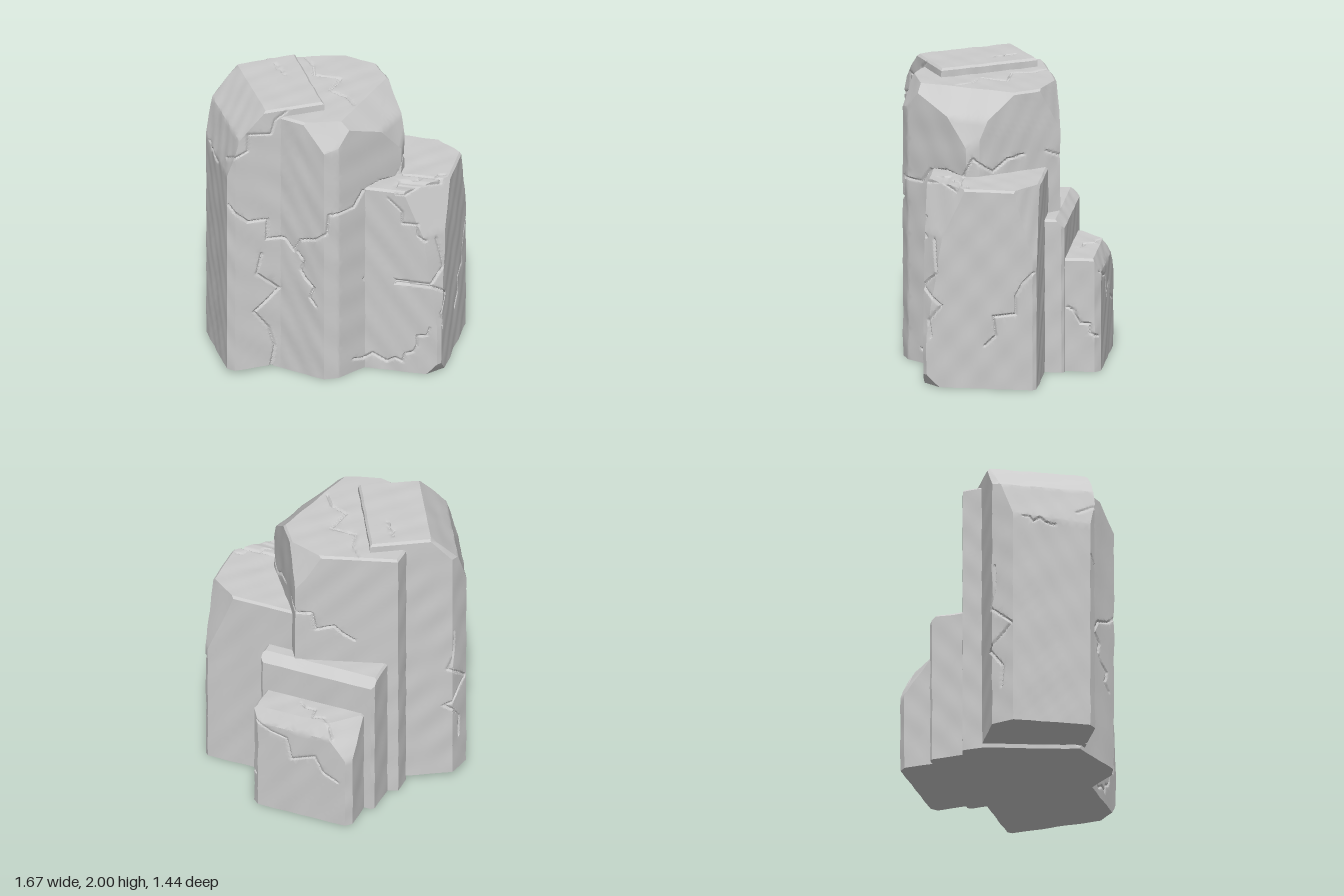
import * as THREE from 'three';
import { ConvexGeometry } from 'three/addons/geometries/ConvexGeometry.js';
import { toCreasedNormals } from 'three/addons/utils/BufferGeometryUtils.js';

// Jagged line of points wandering between two ends
function crackLine([u1, v1, u2, v2]) {
  const steps = 6;
  return Array.from({ length: steps + 1 }, (_, i) => {
    const t = i / steps, sway = 0.12 * Math.sin(Math.PI * t) * Math.sin(i * 2.4 + u1 * 9);
    return [u1 + (u2 - u1) * t - (v2 - v1) * sway, v1 + (v2 - v1) * t + (u2 - u1) * sway];
  });
}

const crackSide = (axis, sign, uv, ends) => ({ axis, sign, uv, lines: ends.map(crackLine) });

// Cracks per side of the rock, each from one end to the other
const cracks = [
  crackSide('z', 1, ['x', 'y'], [
    [-0.57, 1.3, -0.15, 0.93], [-0.15, 0.93, 0.3, 1.37], [-0.6, 1.61, -0.2, 1.98], [-0.36, 0.9, -0.3, 0.03],
    [-0.12, 0.93, 0.02, 0.55], [0.47, 1.33, 0.73, 1.02], [0.25, 0.1, 0.57, 0.08], [0.57, 0.08, 0.76, 0.36]]),
  crackSide('x', 1, ['z', 'y'], [
    [0.37, 0.35, 0.35, 1.02], [0, 0.3, -0.33, 0.82], [0.42, 1.37, -0.2, 1.5], [-0.5, 0.45, -0.7, 0.25]]),
  crackSide('y', 1, ['x', 'z'], [
    [-0.42, -0.05, -0.32, 0.08], [-0.27, -0.28, 0.2, 0.28], [-0.25, -0.7, 0.05, -0.53], [0.6, 0.25, 0.8, 0.12]]),
  crackSide('z', -1, ['x', 'y'], [[-0.25, 1.25, 0.2, 1.5], [-0.3, 0.35, 0.3, 0.7]]),
  crackSide('x', -1, ['z', 'y'], [[0.1, 1.2, 0.15, 0.3], [0.5, 1.5, 0.3, 1.55]]),
];

function segmentDistance(u, v, a, b) {
  const dx = b[0] - a[0], dy = b[1] - a[1];
  const t = THREE.MathUtils.clamp(((u - a[0]) * dx + (v - a[1]) * dy) / (dx * dx + dy * dy), 0, 1);
  return Math.hypot(u - a[0] - t * dx, v - a[1] - t * dy);
}

// Distance to the nearest crack on the sides that p faces, seen from the block's core
function crackDistance(p, core) {
  let best = 1;
  for (const { axis, sign, uv, lines } of cracks) {
    if (sign * (p[axis] - core[axis]) < 0.1) continue;
    for (const line of lines) {
      for (let i = 1; i < line.length; i++) {
        best = Math.min(best, segmentDistance(p[uv[0]], p[uv[1]], line[i - 1], line[i]));
      }
    }
  }
  return best;
}

// Half-space whose face lies at distance d1 along (dx, dz) at height y1, and d2 at height y2
function chipPlane(dx, dz, d1, y1, d2, y2) {
  const l = Math.hypot(dx, dz), rise = Math.abs(y2 - y1);
  const n = new THREE.Vector3(dx / l * rise, (d1 - d2) * Math.sign(y2 - y1), dz / l * rise).normalize();
  return { n, d: n.dot(new THREE.Vector3(dx / l * d1, y1, dz / l * d1)) };
}

// One plane for each step of a chip's profile of distance, height pairs
function chipPlanes([dx, dz, ...profile]) {
  const planes = [];
  for (let i = 0; i + 3 < profile.length; i += 2) planes.push(chipPlane(dx, dz, ...profile.slice(i, i + 4)));
  return planes;
}

// Corner points of the solid inside all half-spaces
function solidCorners(planes) {
  const points = [], c = new THREE.Vector3();
  for (let i = 0; i < planes.length; i++) {
    for (let j = i + 1; j < planes.length; j++) {
      for (let k = j + 1; k < planes.length; k++) {
        const [a, b, e] = [planes[i], planes[j], planes[k]];
        const det = a.n.dot(c.crossVectors(b.n, e.n));
        if (Math.abs(det) < 1e-5) continue;
        const p = c.clone().multiplyScalar(a.d)
          .addScaledVector(c.crossVectors(e.n, a.n), b.d)
          .addScaledVector(c.crossVectors(a.n, b.n), e.d).divideScalar(det);
        if (planes.every(q => q.n.dot(p) < q.d + 1e-5) && points.every(q => q.distanceTo(p) > 1e-3)) points.push(p);
      }
    }
  }
  return points;
}

// Splits long edges, more finely beside cracks, then weathers the surface
function weather(geometry, core, bottom) {
  const out = [], pos = geometry.getAttribute('position');
  const tooLong = (a, b) => {
    const len = a.distanceTo(b);
    if (len < 0.014) return 0;
    if (len > 0.06) return len;
    const mid = a.clone().add(b).multiplyScalar(0.5);
    return crackDistance(mid, core) < 0.012 + len / 2 ? len : 0;
  };
  const split = (a, b, c) => {
    const e = [tooLong(a, b), tooLong(b, c), tooLong(c, a)];
    const m = Math.max(...e);
    if (m === 0) { out.push(a, b, c); return; }
    if (m === e[1]) [a, b, c] = [b, c, a];
    else if (m === e[2]) [a, b, c] = [c, a, b];
    const mid = a.clone().add(b).multiplyScalar(0.5);
    split(a, mid, c);
    split(mid, b, c);
  };
  const corner = i => new THREE.Vector3().fromBufferAttribute(pos, i);
  for (let i = 0; i < pos.count; i += 3) split(corner(i), corner(i + 1), corner(i + 2));

  const moved = out.map(p => {
    const inward = new THREE.Vector3(core.x, Math.min(p.y, core.y), core.z).sub(p).normalize();
    const wave = Math.sin(p.x * 17 + p.y * 7) * Math.sin(p.z * 19 - p.y * 9 + 1) + 0.6 * Math.sin(p.x * 31 + p.z * 27 + p.y * 23);
    const groove = Math.max(0, 1 - crackDistance(p, core) / 0.012);
    const q = p.clone().addScaledVector(inward, 0.003 * wave + 0.003 + 0.014 * groove);
    if (p.y < bottom + 1e-3) q.y = p.y;
    return q;
  });
  return toCreasedNormals(new THREE.BufferGeometry().setFromPoints(moved), 0.5);
}

// Rectangular footprint with cut corners
const rectangle = (x0, x1, z0, z1, c) => [[x0, z0 + c], [x0 + c, z0], [x1 - c, z0], [x1, z0 + c],
  [x1, z1 - c], [x1 - c, z1], [x0 + c, z1], [x0, z1 - c]];

// Stone column: footprint of [x, z] corners, softened top edge and chipped corners.
// A chip is a direction x, z and then its profile of distance, height pairs.
function stone(name, y0, y1, footprint, chips) {
  const cx = footprint.reduce((s, p) => s + p[0], 0) / footprint.length;
  const cz = footprint.reduce((s, p) => s + p[1], 0) / footprint.length;
  const up = new THREE.Vector3(0, 1, 0);
  const planes = [{ n: up, d: y1 }, { n: up.clone().negate(), d: -y0 }, ...chips.flatMap(chipPlanes)];
  footprint.forEach(([x, z], i) => {
    const [x2, z2] = footprint[(i + 1) % footprint.length];
    const n = new THREE.Vector3(z2 - z, 0, x - x2).normalize();
    if (n.x * (x - cx) + n.z * (z - cz) < 0) n.negate();
    const d = n.x * x + n.z * z;
    planes.push({ n, d }, chipPlane(n.x, n.z, d, y1 - 0.015, d - 0.015, y1));
  });
  const core = new THREE.Vector3(cx, y1 - 0.4, cz);
  const geometry = weather(new ConvexGeometry(solidCorners(planes)), core, y0);
  const mesh = new THREE.Mesh(geometry, new THREE.MeshStandardMaterial({ color: 0xcccccc }));
  mesh.name = name;
  return mesh;
}

export function createModel() {
  const group = new THREE.Group();
  group.name = 'rockFormation';
  group.add(stone('tallLeftColumn', 0.03, 2,
    [[-0.32, -0.21], [0.025, 0.4], [-0.52, 0.72], [-0.58, 0.71], [-0.835, 0.24], [-0.8, 0.08]],
    [[-0.87, 0.5, 0.84, 1.58, 0.78, 1.8, 0.59, 2], [-1, -0.1, 0.8, 1.8, 0.66, 2]]));
  group.add(stone('centralColumn', 0, 1.94,
    [[0.06, -0.41], [0.14, -0.425], [0.505, 0.08], [0.505, 0.17], [0.17, 0.61], [0.08, 0.655],
      [-0.3, 0.54], [-0.53, -0.08], [-0.53, -0.22]],
    [[0.97, 0.24, 0.53, 1.58, 0.46, 1.77, 0.29, 1.94], [0.3, 0.95, 0.645, 1.75, 0.55, 1.94],
      [0.3, -0.95, 0.435, 1.68, 0.35, 1.94]]));
  group.add(stone('rightColumn', 0, 1.39, rectangle(0, 0.835, -0.35, 0.425, 0.025),
    [[0.745, 0.667, 0.895, 0.3, 0.816, 1.05, 0.71, 1.39], [0.58, -0.81, 0.765, 0.85, 0.645, 1.39],
      [0.745, 0.667, 0.9, 0.1, 0.83, 0]]));
  group.add(stone('rearStep', 0, 1.07, rectangle(-0.46, 0.375, -0.482, 0.1, 0.02),
    [[0, -1, 0.482, 1.01, 0.42, 1.07]]));
  group.add(stone('lowRearColumn', 0, 0.79, rectangle(-0.39, 0.33, -0.722, -0.2, 0.04),
    [[0, -1, 0.722, 0.69, 0.67, 0.79], [-0.7, -0.7, 0.725, 0.6, 0.62, 0.79]]));
  return group;
}
